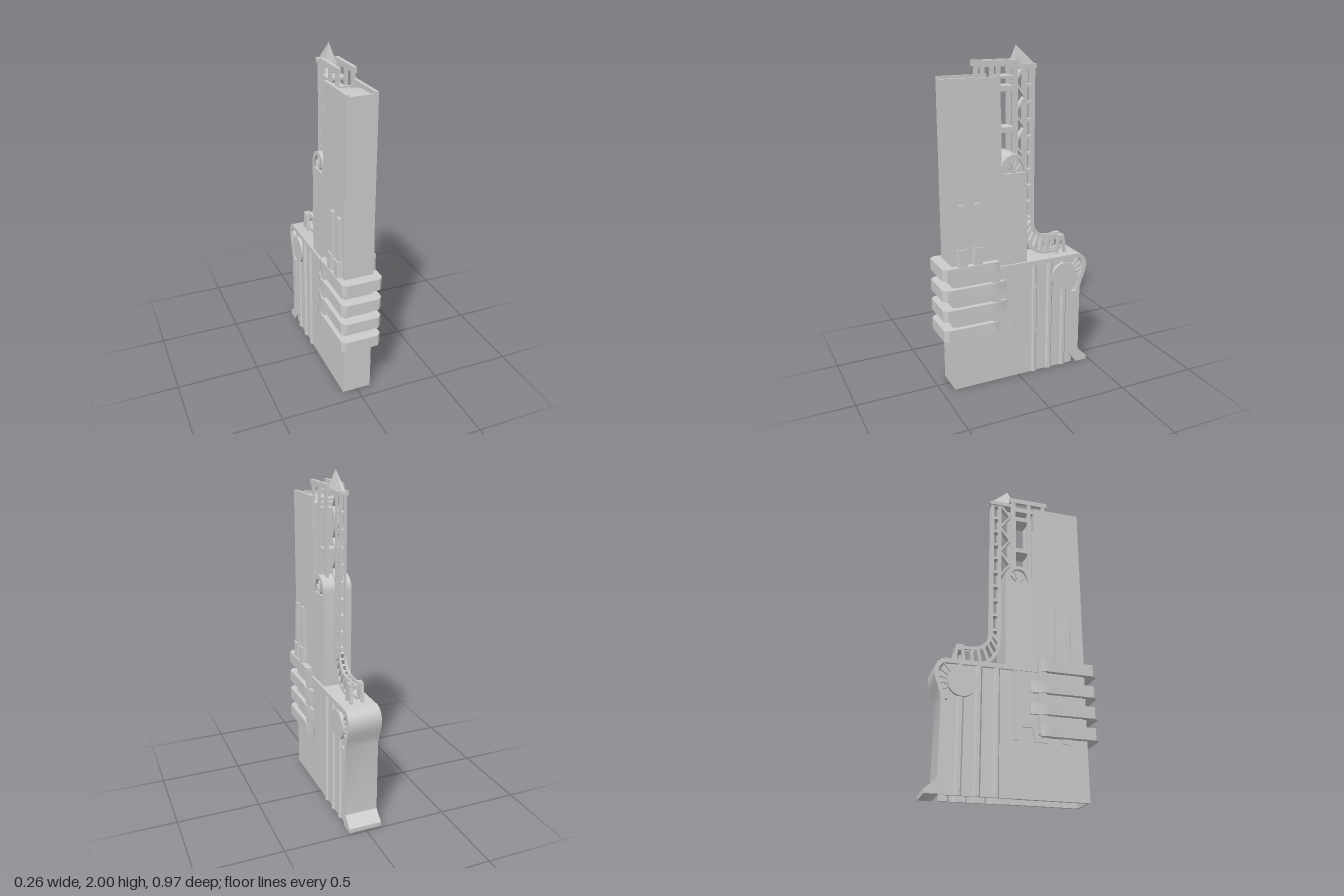
import * as THREE from 'three';
import { toCreasedNormals } from 'three/addons/utils/BufferGeometryUtils.js';

const material = new THREE.MeshStandardMaterial({ color: 0xcccccc, side: THREE.DoubleSide });

export function createModel() {
  const root = new THREE.Group();
  const add = (name, geo) => {
    const mesh = new THREE.Mesh(geo, material);
    mesh.name = name;
    root.add(mesh);
    return mesh;
  };
  const shapeOf = (pts, holes = []) => {
    const s = new THREE.Shape(pts.map(p => new THREE.Vector2(...p)));
    holes.forEach(h => s.holes.push(new THREE.Path(h.map(p => new THREE.Vector2(...p)))));
    return s;
  };
  const extrude = (pts, holes, depth) =>
    toCreasedNormals(new THREE.ExtrudeGeometry(shapeOf(pts, holes), { depth, bevelEnabled: false }), 0.5);
  // outline in [z, y], extruded across x
  const side = (name, pts, x0, x1, holes) =>
    add(name, extrude(pts, holes, x1 - x0).rotateY(-Math.PI / 2).translate(x1, 0, 0));
  // outline in [x, z], extruded up y
  const plan = (name, pts, y0, y1, holes) =>
    add(name, extrude(pts, holes, y1 - y0).rotateX(Math.PI / 2).translate(0, y1, 0));
  const both = (name, pts, x0, x1, holes) => {
    side(name + 'Left', pts, x0, x1, holes);
    side(name + 'Right', pts, -x1, -x0, holes);
  };
  const box = (name, x0, x1, y0, y1, z0, z1) =>
    add(name, new THREE.BoxGeometry(x1 - x0, y1 - y0, z1 - z0)
      .translate((x0 + x1) / 2, (y0 + y1) / 2, (z0 + z1) / 2));
  // straight bar between two [z, y] points
  const bar = (name, a, b, t, w, x = 0) => {
    const dz = b[0] - a[0], dy = b[1] - a[1];
    const m = add(name, new THREE.BoxGeometry(w, t, Math.hypot(dz, dy)));
    m.position.set(x, (a[1] + b[1]) / 2, (a[0] + b[0]) / 2);
    m.rotation.x = -Math.atan2(dy, dz);
  };
  const arc = (cz, cy, r, a0, a1, n = 16) => Array.from({ length: n + 1 }, (_, i) => {
    const a = a0 + (a1 - a0) * i / n;
    return [cz + r * Math.cos(a), cy + r * Math.sin(a)];
  });

  // hollow tower: side walls, front, back and recessed roof
  both('towerWall', [[0.42, 0], [0.42, 1.84], [0.125, 1.84], [0.125, 1.67], [0.108, 1.67],
    [0.108, 0.74], [-0.01, 0.74], [-0.01, 0]], 0.07, 0.088);
  box('towerFront', -0.088, 0.088, 0, 1.83, 0.408, 0.42);
  box('towerBack', -0.07, 0.07, 0.74, 1.8, 0.125, 0.14);
  side('towerRoof', [[0.41, 1.815], [0.26, 1.815], [0.13, 1.79], [0.13, 1.77], [0.41, 1.79]], -0.07, 0.07);

  // round-topped pillar with fan-shaped side windows
  const pillar = [[0.108, 0.74], ...arc(0.025, 1.322, 0.083, 0, Math.PI), [-0.058, 0.74]];
  const fan = arc(0.025, 1.295, 0.06, 0, Math.PI).map(([z, y]) => [z, 1.295 + (y - 1.295) * 1.45]);
  side('pillarCore', pillar, -0.068, 0.068);
  both('pillarCheek', pillar, 0.068, 0.086, [fan]);
  for (const x of [-0.074, 0.074]) {
    for (const a of [0.6, 1.2, 1.94, 2.54])
      bar('fanStrut', [0.025, 1.295], [0.025 + 0.055 * Math.cos(a), 1.295 + 0.078 * Math.sin(a)], 0.008, 0.012, x);
  }

  // fluted hollow base
  const flutes = [[-0.01, 0.088], [-0.09, 0.088], [-0.098, 0.099], [-0.115, 0.099], [-0.125, 0.086],
    [-0.19, 0.086], [-0.2, 0.099], [-0.22, 0.099], [-0.23, 0.088], [-0.29, 0.088],
    [-0.3, 0.097], [-0.32, 0.097], [-0.33, 0.086], [-0.38, 0.086]];
  for (const s of [-1, 1]) {
    const outer = flutes.map(([z, x]) => [s * x, z]);
    const inner = flutes.map(([z, x]) => [s * (x - 0.012), z]).reverse();
    plan('flutedWall', [...outer, ...inner], 0, 0.73);
  }

  // deck that rolls over the rear edge and runs down to a flared foot
  const outerRoll = [[-0.4, 0.745], [-0.425, 0.738], [-0.447, 0.718], [-0.46, 0.69], [-0.462, 0.655],
    [-0.455, 0.62], [-0.437, 0.57], [-0.42, 0.52]];
  const innerRoll = [[-0.395, 0.5], [-0.412, 0.57], [-0.43, 0.62], [-0.437, 0.66], [-0.433, 0.69],
    [-0.415, 0.712], [-0.395, 0.717]];
  side('deckAndBackPlate', [[0.14, 0.745], ...outerRoll, [-0.42, 0.08], [-0.485, 0.025], [-0.485, 0],
    [-0.41, 0], [-0.36, 0.06], [-0.36, 0.5], ...innerRoll, [0.14, 0.717]], -0.1, 0.1);
  side('rearFill', [[-0.36, 0.72], [-0.41, 0.71], [-0.435, 0.66], [-0.4, 0.52], [-0.36, 0.5]], -0.086, 0.086);

  // wheel bosses and radiating ribs
  for (const s of [-1, 1]) {
    const wheel = add('wheelBoss', toCreasedNormals(new THREE.CylinderGeometry(0.086, 0.086, 0.03, 32), 0.6));
    wheel.rotation.z = Math.PI / 2;
    wheel.position.set(s * 0.092, 0.615, -0.303);
    for (const a of [-0.45, -0.15, 0.15, 0.42, 0.7])
      bar('wheelRib', [-0.303 - 0.08 * Math.cos(a), 0.615 + 0.08 * Math.sin(a)],
        [-0.303 - 0.135 * Math.cos(a), 0.625 + 0.135 * Math.sin(a)], 0.009, 0.012, s * 0.09);
  }

  // four wraparound bands joined by a strap on each side
  const half = (back, wide) => [[0.1, 0.485], [0.123, 0.46], [0.123, 0.2], [0.128, 0.17], [wide, back]];
  [0.34, 0.465, 0.59, 0.72].forEach((y, i) => {
    const h = i % 3 ? half(0.085, 0.108) : half(0.14, 0.121);
    const back = h[4][1];
    plan('band', [...h, [0.086, back], [0.086, 0.415], [-0.086, 0.415], [-0.086, back],
      ...h.map(([x, z]) => [-x, z]).reverse()], y, y + 0.07);
  });
  both('bandStrap', [[0.178, 0.35], [0.13, 0.35], [0.13, 0.78], [0.178, 0.78]], 0.086, 0.117);
  both('bandBacking', [[0.4, 0.36], [0.325, 0.36], [0.315, 0.31], [0.275, 0.31], [0.265, 0.36],
    [0.2, 0.36], [0.185, 0.31], [0.115, 0.31], [0.095, 0.39], [0.04, 0.39], [0.022, 0.31],
    [-0.01, 0.31], [-0.01, 0.72], [0.4, 0.72]], 0.086, 0.096);

  // stepped twin prongs rising from the top band
  for (const s of [-1, 1]) for (const z of [0.36, 0.265]) {
    plan('prongBase', [[s * 0.086, z - 0.032], [s * 0.086, z + 0.032], [s * 0.118, z + 0.025],
      [s * 0.118, z - 0.025]], 0.78, 0.892);
    const prong = add('prong', toCreasedNormals(
      new THREE.CylinderGeometry(0.017, 0.024, 0.26, 4, 1, false, Math.PI / 4).scale(0.8, 1, Math.SQRT2), 0.3));
    prong.position.set(s * 0.096, 1.02, z);
  }

  // twin side frames behind the tower top
  both('topRail', [[0.228, 1.89], [0.228, 1.922], [-0.022, 1.922], [-0.022, 1.89]], 0.034, 0.054);
  for (const [z0, z1, y0] of [[0.19, 0.212, 1.78], [0.095, 0.118, 1.33], [-0.012, 0.018, 1.33]])
    both('framePost', [[z0, y0], [z1, y0], [z1, 1.9], [z0, 1.9]], 0.036, 0.052);
  for (const [y, h] of [[1.825, 0.014], [1.755, 0.03], [1.525, 0.03]])
    box('frameRung', -0.052, 0.052, y, y + h, 0.01, 0.1);

  // ladder track: vertical run, sweep and level end
  const rail = (cz, cy, r, top, end) => {
    const edge = rr => [[cz + rr, top], ...arc(cz, cy, rr, 0, -Math.PI / 2), [end, cy - rr]];
    return [...edge(r), ...edge(r - 0.02).reverse()];
  };
  for (const s of [0.011, -0.021]) {
    side('trackLowerRail', rail(-0.23, 0.91, 0.163, 1.89, -0.3), s, s + 0.01);
    side('trackUpperRail', rail(-0.24, 0.97, 0.126, 1.89, -0.33), s, s + 0.01);
  }
  for (let y = 0.99; y < 1.89; y += 0.098) bar('trackRung', [-0.075, y], [-0.125, y], 0.018, 0.04);
  for (let i = 0; i <= 5; i++) {
    const a = -i * Math.PI / 10, c = Math.cos(a), d = Math.sin(a);
    bar('sweepRung', [-0.23 + 0.153 * c, 0.91 + 0.153 * d], [-0.24 + 0.116 * c, 0.97 + 0.116 * d], 0.016, 0.04);
  }

  // zigzag bracing between the frames and the track
  for (let i = 0; i < 6; i++) {
    const y = 1.36 + i * 0.088, odd = i % 2;
    bar('zigzagBrace', [odd ? -0.01 : -0.075, y], [odd ? -0.075 : -0.01, y + 0.088], 0.013, 0.036);
  }
  box('braceCap', -0.03, 0.03, 1.87, 1.895, -0.14, 0.01);

  // pointed peak
  const corner = [[0.035, 1.885, 0.012], [-0.035, 1.885, 0.012], [-0.012, 1.885, -0.145], [0.012, 1.885, -0.145]];
  const apex = [0, 2, -0.022];
  const peak = new THREE.BufferGeometry();
  const faces = [...corner.flatMap((p, i) => [p, apex, corner[(i + 1) % 4]]),
    corner[0], corner[1], corner[2], corner[0], corner[2], corner[3]];
  peak.setAttribute('position', new THREE.Float32BufferAttribute(faces.flat(), 3));
  peak.computeVertexNormals();
  // reverse winding so the faces point outward
  const p = peak.attributes.position;
  peak.setIndex(Array.from({ length: p.count }, (_, i) => i < 12 ? i - (i % 3) + [0, 2, 1][i % 3] : i));
  const outward = peak.toNonIndexed();
  outward.computeVertexNormals();
  add('peak', outward);

  // clamp holding the track end on the deck
  both('clampLeg', [[-0.275, 0.74], [-0.292, 0.862], [-0.332, 0.862], [-0.352, 0.74], [-0.332, 0.74],
    [-0.322, 0.83], [-0.304, 0.83], [-0.295, 0.74]], 0.026, 0.044);
  box('clampBar', -0.044, 0.044, 0.825, 0.85, -0.335, -0.292);
  return root;
}
